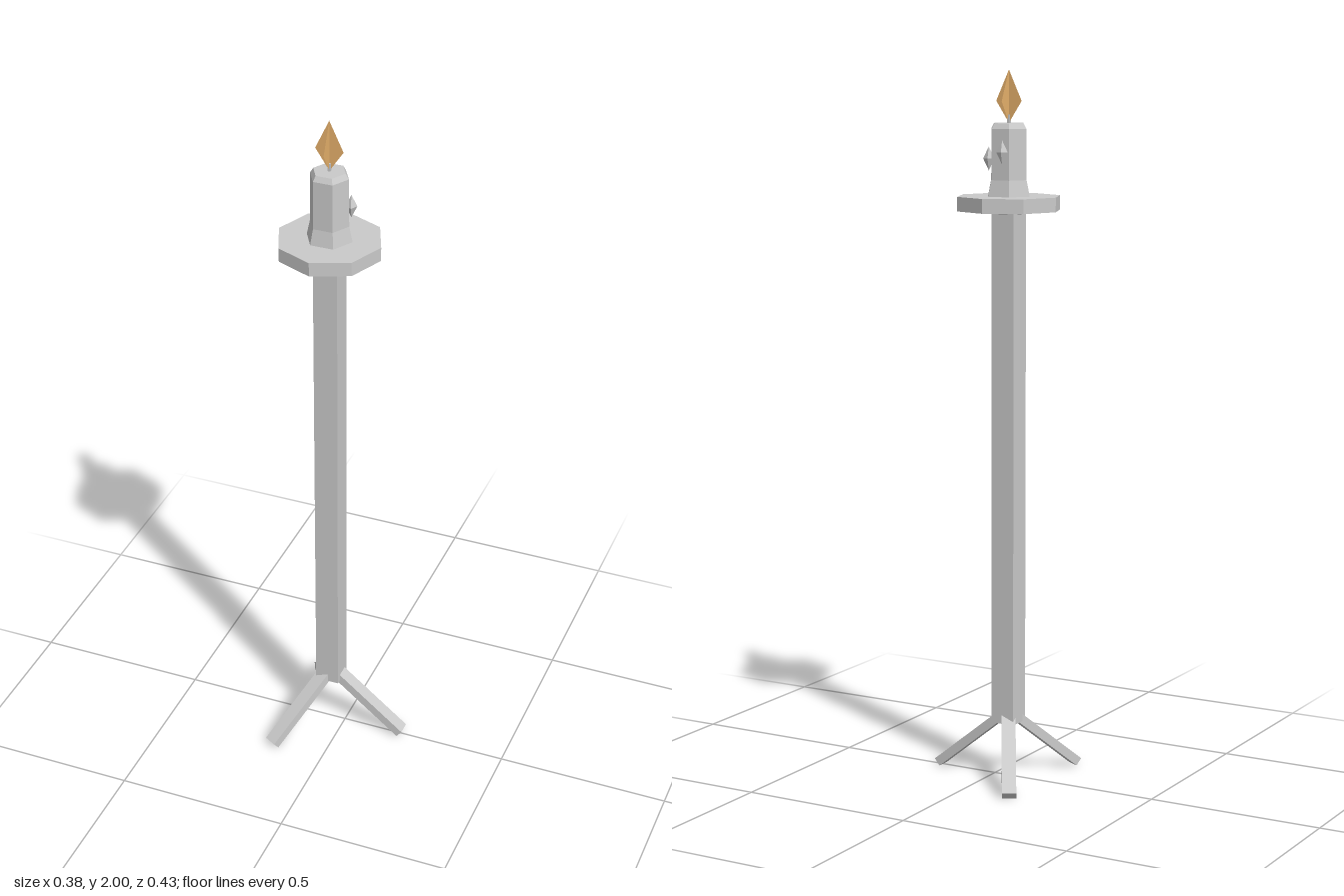
import * as THREE from 'three';

export function createModel() {
  const model = new THREE.Group();
  const iron = new THREE.MeshStandardMaterial({ color: 0xcacaca, flatShading: true });
  iron.name = 'paleGrey';
  const flameMat = new THREE.MeshStandardMaterial({ color: 0xe8b26c, flatShading: true, side: THREE.DoubleSide });
  flameMat.name = 'flameOrange';

  // Everything stands on one axis, set off centre so the tripod is centred
  const stand = new THREE.Group();
  stand.name = 'candleStand';
  stand.position.set(-0.045, 0, -0.002);
  model.add(stand);

  const add = (name, geometry, material, x = 0, y = 0, z = 0) => {
    const mesh = new THREE.Mesh(geometry, material);
    mesh.name = name;
    mesh.position.set(x, y, z);
    stand.add(mesh);
    return mesh;
  };
  const lathe = (points, sides) =>
    new THREE.LatheGeometry(points.map(([r, y]) => new THREE.Vector2(r, y)), sides);

  // Square pole
  add('pole', new THREE.BoxGeometry(0.07, 1.46, 0.07), iron, 0, 0.89, 0);

  // Three splayed legs
  const slope = 0.68, reach = 0.226, inner = 0.02;
  const length = (reach - inner) / Math.cos(slope);
  for (let i = 0; i < 3; i++) {
    const pivot = new THREE.Group();
    pivot.name = 'leg' + (i + 1);
    pivot.rotation.y = (i * Math.PI * 2) / 3;
    const leg = add('legBar', new THREE.BoxGeometry(length, 0.025, 0.04), iron,
      (reach + inner) / 2, 0.01 + (length / 2) * Math.sin(slope), 0);
    leg.rotation.z = -slope;
    pivot.add(leg);
    stand.add(pivot);
  }

  // Octagonal drip plate with a slightly dished underside
  add('dripPlate', lathe([[0, 1.606], [0.04, 1.606], [0.05, 1.615], [0.147, 1.615], [0.147, 1.655], [0, 1.655]], 8), iron);

  // Hexagonal candle with a flared foot and bevelled top
  const candle = add('candle',
    lathe([[0.067, 1.65], [0.056, 1.7], [0.055, 1.84], [0.046, 1.855], [0, 1.855]], 6), iron);
  candle.rotation.y = Math.PI / 2;

  // Wax drips on the candle's side
  for (const [x, y, z] of [[0.058, 1.757, -0.01], [-0.012, 1.777, -0.059]]) {
    const drip = add('waxDrip', new THREE.OctahedronGeometry(1), iron, x, y, z);
    drip.scale.set(0.016, 0.033, 0.016);
    drip.rotation.y = 0.3;
  }

  // Wick
  add('wick', new THREE.BoxGeometry(0.008, 0.025, 0.008), iron, 0, 1.865, 0);

  // Flame: two crossed flat kites
  const kite = new THREE.Shape([[0, 1.855], [0.04, 1.915], [0, 2], [-0.04, 1.915]]
    .map(([x, y]) => new THREE.Vector2(x, y)));
  for (const turn of [0, Math.PI / 2]) {
    add('flame', new THREE.ShapeGeometry(kite), flameMat).rotation.y = turn;
  }

  return model;
}
